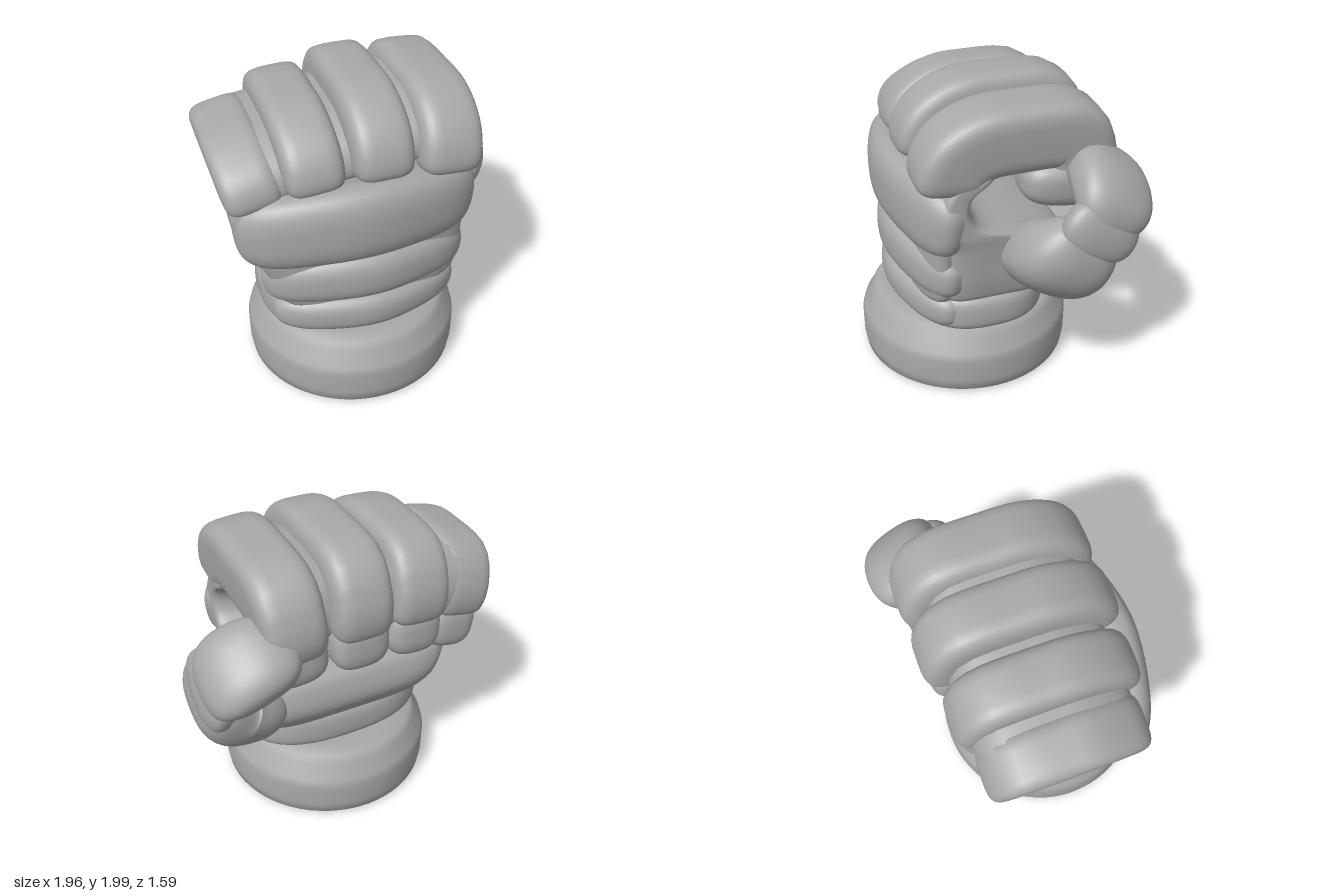
import * as THREE from 'three';

const V3 = (a) => new THREE.Vector3(...a);

// Padded form: smooth loft through stations [x, y, z, halfWidth, halfDepth] with rounded ends.
// side = width direction, endPower = how blunt the ends are, box = squareness of the section,
// up = fixed section normal (otherwise the path's tangent).
function puff(stations, { side = [1, 0, 0], endPower = 8, box = 3, up = null, rows = 36, cols = 36 } = {}) {
  const path = new THREE.CatmullRomCurve3(stations.map((s) => V3(s.slice(0, 3))), false, 'catmullrom', 0.5);
  const size = new THREE.CatmullRomCurve3(stations.map((s) => V3([s[3], s[4], 0])), false, 'catmullrom', 0.5);
  const pos = [], index = [];
  const pow = (v) => Math.sign(v) * Math.abs(v) ** (2 / box);
  for (let i = 0; i <= rows; i++) {
    const t = (1 - Math.cos((Math.PI * i) / rows)) / 2;
    const k = Math.max(0.001, 1 - Math.abs(2 * t - 1) ** endPower) ** (1 / Math.min(endPower, 3));
    const c = path.getPoint(t), s = size.getPoint(t);
    const T = up ? V3(up) : path.getTangent(t);
    const V = T.clone().cross(V3(side)).normalize();
    const U = V.clone().cross(T).normalize();
    const end = i === 0 || i === rows ? 0 : k;
    for (let j = 0; j < cols; j++) {
      const a = (j / cols) * Math.PI * 2;
      const p = c.clone()
        .addScaledVector(U, pow(Math.cos(a)) * s.x * end)
        .addScaledVector(V, pow(Math.sin(a)) * s.y * end);
      pos.push(p.x, p.y, p.z);
      if (i < rows) {
        const n = (j + 1) % cols, r = i * cols, q = r + cols;
        index.push(r + j, r + n, q + n, r + j, q + n, q + j);
      }
    }
  }
  const g = new THREE.BufferGeometry();
  g.setAttribute('position', new THREE.Float32BufferAttribute(pos, 3));
  g.setIndex(index);
  g.computeVertexNormals();
  return g;
}

export function createModel() {
  const group = new THREE.Group();
  const grey = new THREE.MeshStandardMaterial({ color: 0xa8a8a8 });
  grey.name = 'paddedGrey';
  const add = (name, geometry) => {
    const m = new THREE.Mesh(geometry, grey);
    m.name = name;
    group.add(m);
    return m;
  };

  // Hollow cuff: cavity from its ceiling down to the rim, then up the outside
  const cuffProfile = [[0, 0.42], [0.42, 0.41], [0.53, 0.34], [0.56, 0.15], [0.57, 0.06], [0.61, 0.015],
    [0.66, 0.01], [0.695, 0.03], [0.705, 0.1], [0.705, 0.25], [0.69, 0.3], [0.655, 0.345],
    [0.635, 0.4], [0.6, 0.445], [0.5, 0.46], [0, 0.46]];
  add('cuff', new THREE.LatheGeometry(cuffProfile.map((p) => new THREE.Vector2(...p)), 64))
    .position.set(-0.095, 0, 0.085);

  // Padded wrist ring
  add('wrist', puff([[-0.08, 0.42, 0.09, 0.64, 0.46], [-0.08, 0.58, 0.09, 0.65, 0.47], [-0.08, 0.76, 0.09, 0.63, 0.45]],
    { up: [0, 1, 0], endPower: 5, box: 2.6, cols: 56 }));

  // Hand: heel of the palm below, thin back of the hand above the grip hole; rows are y, x0, x1, z0, z1
  const hand = [[0.64, -0.66, 0.53, -0.33, 0.44], [0.74, -0.7, 0.55, -0.4, 0.44], [0.85, -0.74, 0.57, -0.46, 0.45],
    [0.97, -0.79, 0.58, -0.45, 0.45], [1.08, -0.83, 0.59, -0.38, 0.45], [1.16, -0.87, 0.6, -0.14, 0.45],
    [1.22, -0.89, 0.6, 0.13, 0.45], [1.33, -0.91, 0.6, 0.22, 0.45], [1.44, -0.92, 0.6, 0.2, 0.42],
    [1.54, -0.91, 0.6, 0.06, 0.38], [1.68, -0.86, 0.58, 0.0, 0.34]];
  add('hand', puff(hand.map(([y, x0, x1, z0, z1]) =>
    [(x0 + x1) / 2, y, (z0 + z1) / 2, (x1 - x0) / 2, (z1 - z0) / 2]),
  { up: [0, 1, 0], endPower: 24, box: 5, rows: 56, cols: 72 }));

  // Rounded back of the hand beneath the bands
  add('backOfHand', puff(hand.slice(0, 9).map(([y, x0, x1]) => [(x0 + x1) / 2, y, 0.39, (x1 - x0) * 0.47, 0.16]),
    { up: [0, 1, 0], endPower: 16, box: 2.2, cols: 48 }));

  // Padded bands across the back of the hand: x0, x1, y, half height, front z, droop of the ends
  [[-0.67, 0.49, 0.59, 0.135, 0.635, 0.02], [-0.73, 0.54, 0.88, 0.17, 0.645, 0.05],
    [-0.88, 0.595, 1.275, 0.25, 0.665, 0.08],
  ].forEach(([x0, x1, y, h, z, droop], i) => {
    const stations = [-1, -0.6, 0, 0.6, 1].map((s) =>
      [(x0 + x1) / 2 + (s * (x1 - x0)) / 2, y + 0.02 - droop * s * s, z - 0.14 - 0.22 * s * s,
        h * (1 - 0.1 * s * s), 0.14]);
    add('backBand' + (i + 1), puff(stations, { side: [0, 1, 0], endPower: 7, box: 2.6 }));
  });

  // Path of a curled finger, from the front knuckle over the top and down behind
  const curl = (zf, zb, top, b, front, back, hx) => {
    const f = zf - b, r = zb + b, y = top - b;
    return [[f, front], [f - 0.02, front + (y - front) * 0.45], [f - 0.09, y - 0.07], [f - 0.23, y - 0.01],
      [(f + r) / 2, y], [r + 0.1, y - 0.01], [r + 0.02, y - 0.1], [r, y - 0.2], [r + 0.02, back],
    ].map(([z, h]) => [0, h - 1.6, z, hx, b]);
  };

  // Fingers and tucked tips: name, x, half width, front z, back z, top, half depth, front end, back end, tilt
  [['littleFinger', -0.79, 0.175, 0.47, -0.55, 1.79, 0.15, 1.41, 1.33, 0.2],
    ['ringFinger', -0.42, 0.185, 0.54, -0.62, 1.935, 0.2, 1.48, 1.43, 0.06],
    ['middleFinger', -0.01, 0.19, 0.57, -0.675, 2.0, 0.22, 1.5, 1.49, 0],
    ['indexFinger', 0.415, 0.2, 0.57, -0.68, 1.965, 0.215, 1.45, 1.5, -0.07],
  ].forEach(([name, x, hx, zf, zb, top, b, front, back, tilt]) => {
    const finger = new THREE.Group();
    finger.name = name;
    const upper = new THREE.Mesh(puff(curl(zf, zb, top, b, front, back, hx), { endPower: 16, box: 4, rows: 48 }), grey);
    upper.name = name + 'Upper';
    const y = back - 0.09 - 1.6;
    const tip = new THREE.Mesh(puff([[0, y, zb + 0.03, hx * 0.97, 0.16], [0, y - 0.01, zb + 0.2, hx * 0.97, 0.17],
      [0, y + 0.01, -0.11, hx * 0.93, 0.15]], { endPower: 4, box: 2.8 }), grey);
    tip.name = name + 'Tip';
    finger.add(upper, tip);
    finger.position.set(x, 1.6, 0);
    finger.rotation.z = tilt;
    group.add(finger);
  });

  // Webbing that closes the grooves between the fingers
  const web = add('fingerWebbing', puff(curl(0.44, -0.54, 1.84, 0.1, 1.5, 1.4, 0.68), { endPower: 14, box: 6 }));
  web.position.set(-0.17, 1.6, 0);
  web.rotation.z = 0.1;

  // Thumb: base, joint and inward-bent tip
  const side = [0, 0.5, 0.85];
  add('thumbBase', puff([[0.4, 0.93, -0.19, 0.27, 0.18], [0.6, 0.97, -0.23, 0.3, 0.22],
    [0.76, 1.06, -0.28, 0.3, 0.22], [0.87, 1.27, -0.42, 0.23, 0.11]], { side, endPower: 6, box: 2.6 }));
  add('thumbJoint', puff([[0.86, 1.13, -0.36, 0.23, 0.11], [0.88, 1.26, -0.43, 0.25, 0.1],
    [0.82, 1.4, -0.5, 0.22, 0.12]], { side, endPower: 4, box: 2.5 }));
  add('thumbTip', puff([[0.88, 1.23, -0.46, 0.2, 0.1], [0.82, 1.39, -0.53, 0.25, 0.14],
    [0.65, 1.48, -0.56, 0.25, 0.16], [0.4, 1.49, -0.59, 0.2, 0.15]], { side, endPower: 5, box: 2.6 }));

  return group;
}
